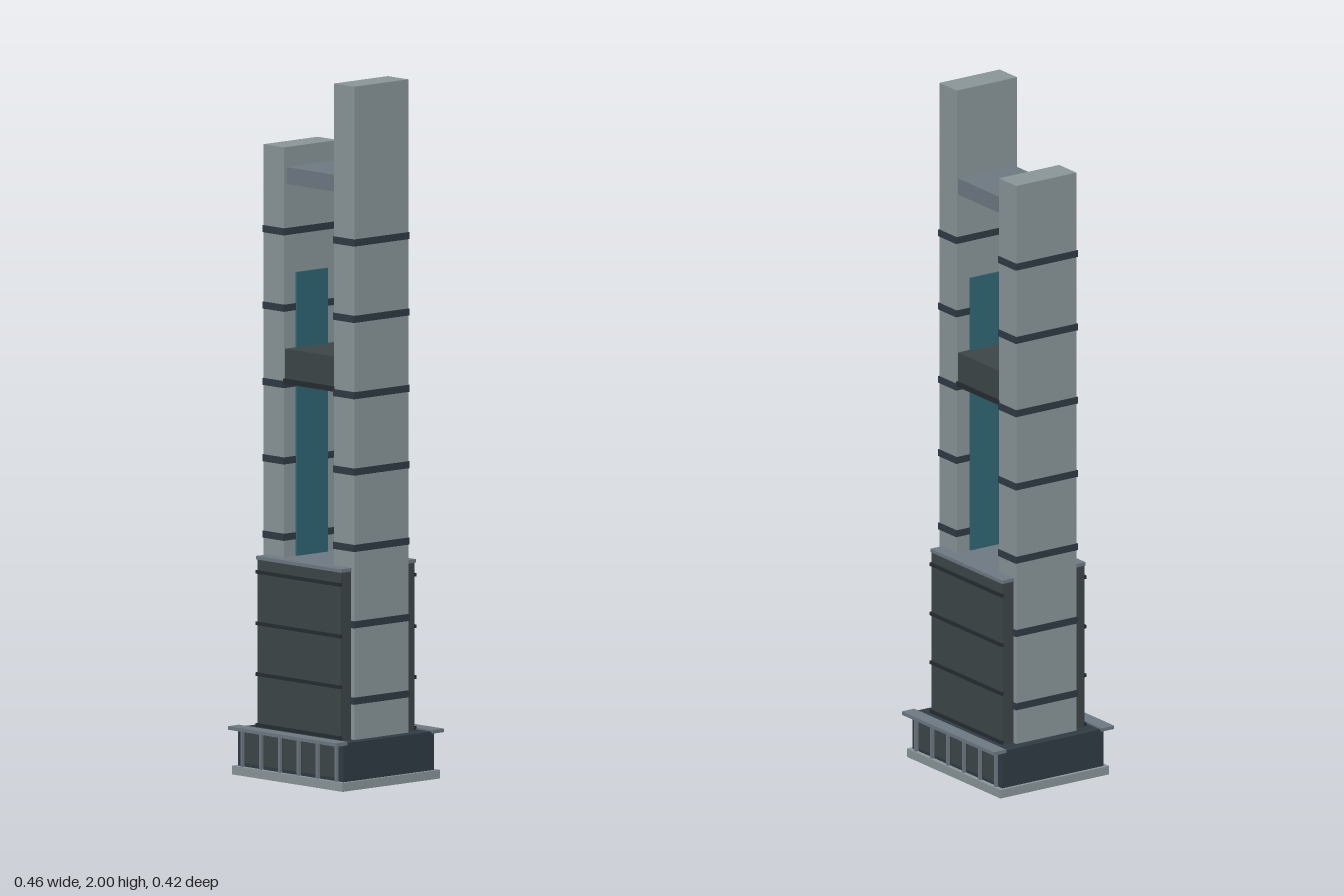
import * as THREE from 'three';

const mat = (color) => new THREE.MeshStandardMaterial({ color });

export function createModel() {
  const model = new THREE.Group();
  const stone = mat(0x8a9699), slate = mat(0x6e7983), navy = mat(0x303b45);
  const dark = mat(0x3e4648), trim = mat(0x252c31), teal = mat(0x2f6673);

  // Box given by its extents on each axis
  const box = (name, material, [x0, x1], [y0, y1], [z0, z1], parent = model) => {
    const mesh = new THREE.Mesh(new THREE.BoxGeometry(x1 - x0, y1 - y0, z1 - z0), material);
    mesh.position.set((x0 + x1) / 2, (y0 + y1) / 2, (z0 + z1) / 2);
    mesh.name = name;
    parent.add(mesh);
    return mesh;
  };
  const sym = (h) => [-h, h];
  const side = (s, a, b) => (s > 0 ? [a, b] : [-b, -a]);

  // Base: slab, plinth, ledges and ribs on the front and back
  box('baseSlab', stone, sym(0.229), [0, 0.025], sym(0.188));
  box('plinth', navy, sym(0.219), [0.025, 0.135], sym(0.175));
  for (const s of [-1, 1]) {
    const face = new THREE.Group();
    face.name = s > 0 ? 'frontPlinthFace' : 'backPlinthFace';
    model.add(face);
    box('ledge', slate, sym(0.225), [0.13, 0.14], side(s, 0.165, 0.208), face);
    for (let i = 0; i < 6; i++) {
      const x = (i - 2.5) * 0.078;
      box('rib', slate, [x - 0.004, x + 0.004], [0.025, 0.13], side(s, 0.174, 0.184), face);
    }
    for (let i = 0; i < 5; i++) {
      const x = (i - 2) * 0.078;
      box('panel', dark, [x - 0.03, x + 0.03], [0.035, 0.122], side(s, 0.174, 0.178), face);
    }
  }

  // Lower hall between the towers, with cladding joints
  box('hall', dark, sym(0.173), [0.135, 0.615], sym(0.142));
  box('hallRoof', slate, sym(0.176), [0.615, 0.625], sym(0.144));
  for (const s of [-1, 1]) {
    for (const y of [0.143, 0.288, 0.433, 0.58]) {
      box('hallJoint', trim, sym(0.175), [y - 0.005, y + 0.005], side(s, 0.14, 0.147));
    }
  }

  // Twin towers of unequal height, with bands and an inner glass strip
  for (const [s, height, name] of [[-1, 1.795, 'rightTower'], [1, 2, 'leftTower']]) {
    const tower = new THREE.Group();
    tower.name = name;
    model.add(tower);
    box('shaft', stone, side(s, 0.103, 0.188), [0.135, height], sym(0.104), tower);
    for (let i = 0; i < 7; i++) {
      const y = 0.246 + i * 0.218;
      box('band', navy, side(s, 0.102, 0.19), [y - 0.01, y + 0.01], sym(0.107), tower);
    }
    box('glassStrip', teal, side(s, 0.098, 0.104), [0.6, 1.435], sym(0.06), tower);
  }

  // Bridges joining the towers
  box('upperBridge', slate, sym(0.106), [1.69, 1.738], [-0.1, 0.096]);
  box('middleBridge', dark, sym(0.106), [1.135, 1.22], sym(0.1));
  box('middleBridgeSill', trim, sym(0.106), [1.12, 1.135], sym(0.105));
  return model;
}
